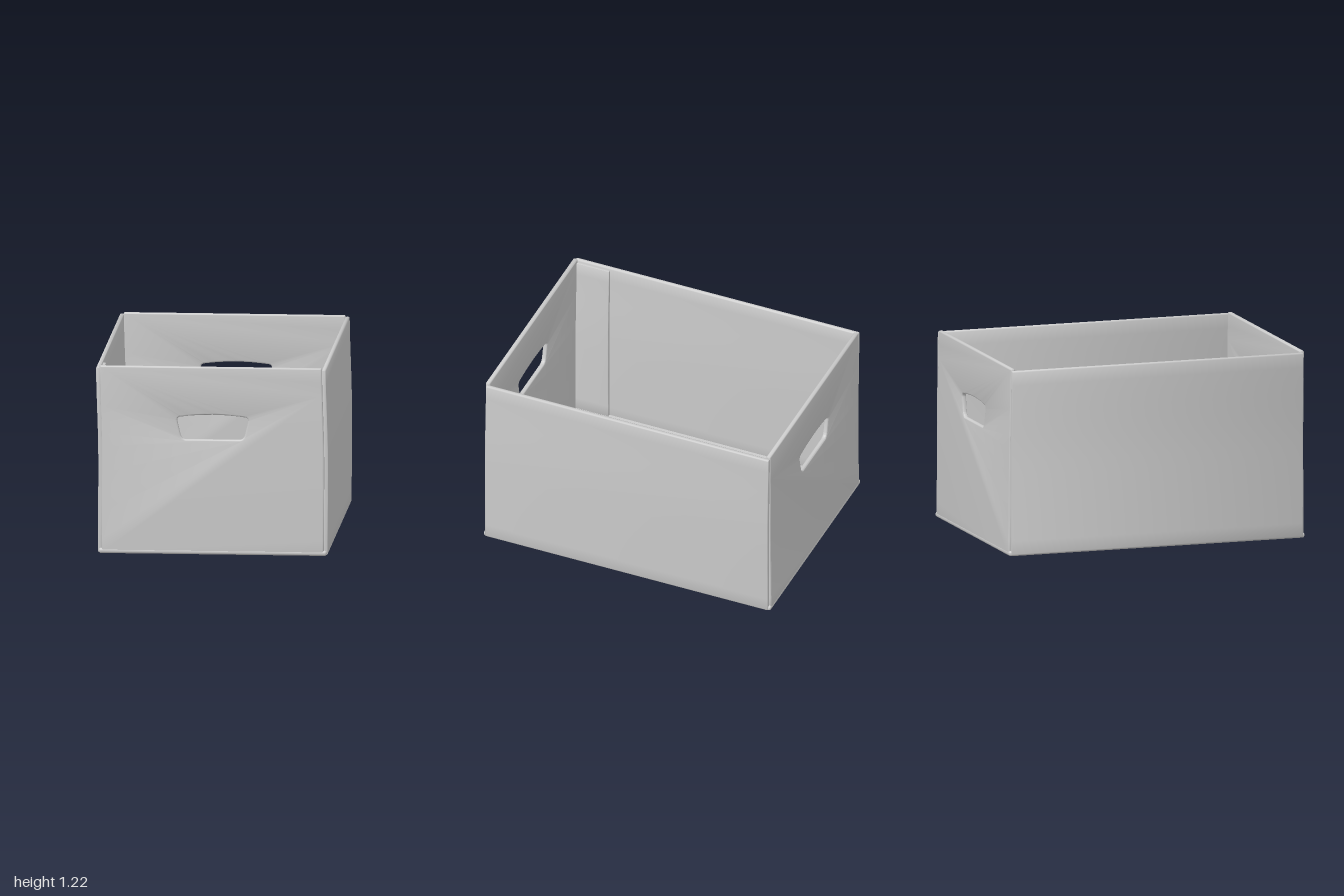
import * as THREE from 'three';
import { toCreasedNormals } from 'three/addons/utils/BufferGeometryUtils.js';
import { RoundedBoxGeometry } from 'three/addons/geometries/RoundedBoxGeometry.js';

const material = new THREE.MeshStandardMaterial({ color: 0xcccccc });

// Slight sideways warp of the card, growing towards the rim
const warp = (y) => -0.012 * THREE.MathUtils.smoothstep(y, 0.6, 1.22) + 0.003 * Math.sin(y * 2.6);

// Closed upright outline of a given half width, following the warp, with eased corners
function warpedOutline(centre, half, bottom, top, r) {
  const right = [], left = [];
  const n = 14;
  const add = (y, inset) => {
    const x = centre + warp(y);
    right.push(new THREE.Vector2(x + half - inset, y));
    left.unshift(new THREE.Vector2(x - half + inset, y));
  };
  add(bottom, r);
  add(bottom + r * 0.3, r * 0.3);
  for (let i = 0; i <= n; i++) add(THREE.MathUtils.lerp(bottom + r, top - r, i / n), 0);
  add(top - r * 0.3, r * 0.3);
  add(top, r);
  return new THREE.Shape([...right, ...left]);
}

// Sheet with softly rounded edges, centred on z = 0
function sheet(shape, thickness, bevel) {
  const geometry = new THREE.ExtrudeGeometry(shape, {
    depth: thickness - 2 * bevel, bevelEnabled: true, bevelThickness: bevel,
    bevelSize: bevel, bevelOffset: -bevel, bevelSegments: 3, curveSegments: 8,
  });
  geometry.translate(0, 0, bevel - thickness / 2);
  return geometry;
}

// Hand hole: tapered, rounded corners and an arched top
function handleHole() {
  const p = new THREE.Path();
  p.moveTo(-0.17, 0.745);
  p.lineTo(0.17, 0.745);
  p.quadraticCurveTo(0.197, 0.745, 0.206, 0.775);
  p.lineTo(0.226, 0.862);
  p.quadraticCurveTo(0.231, 0.887, 0.205, 0.891);
  p.quadraticCurveTo(0, 0.92, -0.205, 0.891);
  p.quadraticCurveTo(-0.231, 0.887, -0.226, 0.862);
  p.lineTo(-0.206, 0.775);
  p.quadraticCurveTo(-0.197, 0.745, -0.17, 0.745);
  return p;
}

export function createModel() {
  const group = new THREE.Group();
  const add = (name, geometry) => {
    const mesh = new THREE.Mesh(geometry, material);
    mesh.name = name;
    group.add(mesh);
  };

  // Floor with rounded bottom edges
  const floor = new RoundedBoxGeometry(1.46, 0.034, 1.996, 4, 0.015);
  floor.translate(0, 0.017, 0);
  add('floor', floor);

  // End walls with hand holes, the back one leaning in a little
  const ends = [['frontWall', 0.982, -0.002], ['backWall', -0.982, 0.01]];
  for (const [name, z, lean] of ends) {
    const shape = warpedOutline(0, 0.711, 0.004, 1.215, 0.008);
    shape.holes.push(handleHole());
    const geometry = sheet(shape, 0.03, 0.01);
    const pos = geometry.attributes.position;
    for (let i = 0; i < pos.count; i++) pos.setZ(i, pos.getZ(i) + z + lean * pos.getY(i));
    geometry.computeVertexNormals();
    add(name, toCreasedNormals(geometry, 0.7));
  }

  // Long side walls
  for (const [name, side] of [['leftWall', 1], ['rightWall', -1]]) {
    const shape = warpedOutline(side * 0.722, 0.014, 0.004, 1.205, 0.01);
    add(name, toCreasedNormals(sheet(shape, 1.965, 0.006), 0.9));
  }

  // Joining flap inside the front right corner
  const flap = warpedOutline(-0.7, 0.011, 0.03, 1.19, 0.003);
  const flapGeometry = sheet(flap, 0.23, 0.003);
  flapGeometry.translate(0, 0, 0.855);
  add('cornerFlap', toCreasedNormals(flapGeometry, 0.7));

  return group;
}
